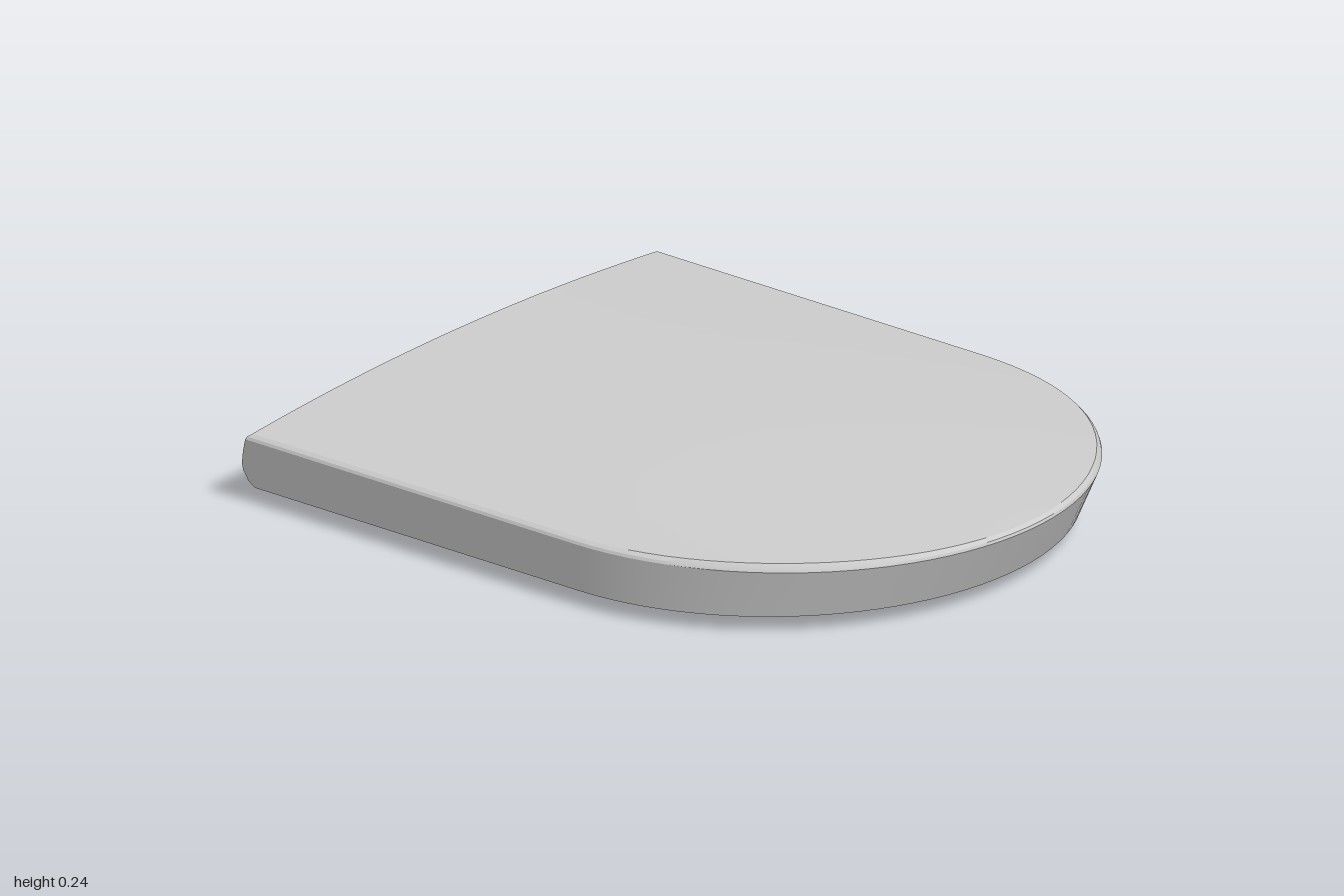
import * as THREE from 'three';
import { toCreasedNormals } from 'three/addons/utils/BufferGeometryUtils.js';

const SIDE = 8, ARC = 48;
// Back edge stations as fractions of the half width; the corners lie beyond 0.815
const BACK = [0.97, 0.9, 0.82, 0.81, 0.7, 0.6, 0.5, 0.4, 0.3, 0.2, 0.1];
const BACK_EDGE = [...BACK.map(f => -f), 0, ...[...BACK].reverse()];

// Closed D-shaped loop: right side, front arc, left side, straight back edge.
// Between the corners the back edge is lifted to at least lip.y and held at lip.z.
function ring(rx, zFront, zBack, y, lip) {
  const zc = 0.15 * rx / 0.835, pts = [];
  const add = (x, z, h = y) => pts.push(new THREE.Vector3(x, h, z));
  for (let i = 0; i < SIDE; i++) add(rx, zBack + (zc - zBack) * i / SIDE);
  for (let i = 0; i <= ARC; i++) {
    const a = Math.PI * i / ARC;
    add(rx * Math.cos(a), zc + (zFront - zc) * Math.sin(a));
  }
  for (let i = 1; i <= SIDE; i++) add(-rx, zc + (zBack - zc) * i / SIDE);
  for (const f of BACK_EDGE) {
    if (lip && Math.abs(f) < 0.815 && y < lip.y) add(f * rx, lip.z, lip.y);
    else add(f * rx, zBack);
  }
  return pts;
}

// Skin a list of equally long closed loops
function skin(rows, crease = 0.6) {
  const pos = [], n = rows[0].length, ab = new THREE.Vector3(), ac = new THREE.Vector3();
  const tri = (a, b, c) => {
    if (ab.subVectors(b, a).cross(ac.subVectors(c, a)).length() < 1e-9) return;
    for (const p of [a, b, c]) pos.push(p.x, p.y, p.z);
  };
  for (let r = 0; r < rows.length - 1; r++) {
    for (let i = 0; i < n; i++) {
      const j = (i + 1) % n, lo = rows[r], hi = rows[r + 1];
      tri(lo[i], hi[i], lo[j]);
      tri(lo[j], hi[i], hi[j]);
    }
  }
  const g = new THREE.BufferGeometry();
  g.setAttribute('position', new THREE.Float32BufferAttribute(pos, 3));
  return toCreasedNormals(g, crease);
}

// Lid: hollow cap with straight leaning skirt, rounded rear corners and domed top
function lidGeometry() {
  const lipIn = { y: 0.183, z: -0.945 }, lipOut = { y: 0.18, z: -0.972 };
  const skirt = (y, zBack) => ring(0.809 + 0.183 * (y - 0.045), 0.93 + 0.49 * (y - 0.045), zBack, y, lipOut);
  const rows = [
    ring(0, 0, 0, 0.183),
    ring(0.795, 0.945, -0.94, 0.183),
    ring(0.785, 0.905, -0.94, 0.05, lipIn),
    ring(0.79, 0.91, -0.945, 0.045, lipIn),
    skirt(0.045, -0.96),
    skirt(0.06, -0.98),
    skirt(0.09, -0.994),
    skirt(0.11, -0.995),
    skirt(0.15, -0.985),
    skirt(0.187, -0.972),
    ring(0.832, 0.997, -0.968, 0.195),
  ];
  for (const t of [0.99, 0.95, 0.85, 0.7, 0.5, 0.25, 0]) {
    const loop = ring(0.83 * t, 0.996 * t, -0.958 * Math.min(1, t * 1.01), 0);
    for (const p of loop) {
      const front = Math.max(0, (p.z + 0.4) / 1.4);
      p.y = 0.202 + 0.037 * (1 - (p.x / 0.83) ** 2) * (1 - front * front);
    }
    rows.push(loop);
  }
  return skin(rows, 0.45);
}

// Seat: ring with a hollow underside and a deep collar round the opening
function seatGeometry() {
  const outer = (rx, zf, y) => ring(rx, zf, -0.91, y, { y: 0.14, z: -0.91 });
  const base = outer(0.775, 0.893, 0.05);
  const hole = (ax, az, y) => base.map(p => {
    const a = Math.atan2((p.z - 0.035) / 0.9, p.x / 0.775);
    return new THREE.Vector3(ax * Math.cos(a), y, 0.035 + az * Math.sin(a));
  });
  const rim = outer(0.735, 0.853, 0.13), collar = hole(0.532, 0.632, 0.05);
  const between = (t, y) => collar.map((p, i) => p.clone().lerp(rim[i], t).setY(y));
  const top = hole(0.6, 0.7, 0.172);
  return skin([
    top,
    hole(0.55, 0.65, 0.145),
    hole(0.523, 0.623, 0.1),
    hole(0.51, 0.61, 0.06),
    hole(0.511, 0.611, 0.005),
    hole(0.515, 0.615, 0),
    hole(0.522, 0.622, 0.002),
    hole(0.526, 0.626, 0.01),
    between(0, 0.05),
    between(0.06, 0.078),
    between(0.15, 0.098),
    between(0.28, 0.114),
    between(0.45, 0.124),
    between(0.7, 0.129),
    between(1, 0.13),
    outer(0.745, 0.863, 0.055),
    outer(0.75, 0.868, 0.05),
    base,
    outer(0.78, 0.9, 0.172),
    top,
  ], 0.75);
}

// Solid filling of a rear corner, with the same rounded end profile as the lid
function cornerGeometry(width) {
  const s = new THREE.Shape();
  s.moveTo(0.87, 0.048);
  s.lineTo(0.955, 0.048);
  s.bezierCurveTo(0.98, 0.055, 0.993, 0.08, 0.99, 0.11);
  s.lineTo(0.968, 0.185);
  s.lineTo(0.87, 0.185);
  const g = new THREE.ExtrudeGeometry(s, { depth: width, bevelEnabled: false, curveSegments: 10 });
  g.rotateY(Math.PI / 2); // profile now points to -z, width to +x
  return toCreasedNormals(g, 0.6);
}

// Slotted frame lying flat, long side on x
function frameGeometry() {
  const rect = (C, w, h) => new C([[-w, -h], [w, -h], [w, h], [-w, h]].map(p => new THREE.Vector2(...p)));
  const s = rect(THREE.Shape, 0.1, 0.036);
  s.holes.push(rect(THREE.Path, 0.07, 0.014));
  return new THREE.ExtrudeGeometry(s, { depth: 0.02, bevelEnabled: false }).rotateX(Math.PI / 2);
}

export function createModel() {
  const model = new THREE.Group();
  model.name = 'toiletSeat';
  const plastic = new THREE.MeshStandardMaterial({ color: 0xcccccc });
  plastic.name = 'greyPlastic';
  const add = (name, geometry, x = 0, y = 0, z = 0, parent = model) => {
    const m = new THREE.Mesh(geometry, plastic);
    m.name = name;
    m.position.set(x, y, z);
    parent.add(m);
    return m;
  };

  add('lid', lidGeometry());
  add('seat', seatGeometry());

  // Hinges, one at each rear corner
  for (const side of [1, -1]) {
    const hinge = new THREE.Group();
    hinge.name = side > 0 ? 'leftHinge' : 'rightHinge';
    model.add(hinge);
    const barrel = (r, w) => new THREE.CylinderGeometry(r, r, w, 36).rotateZ(Math.PI / 2);
    add('cornerBlock', cornerGeometry(0.12), side > 0 ? 0.68 : -0.8, 0, 0, hinge);
    add('hingeBarrel', barrel(0.066, 0.22), side * 0.575, 0.113, -0.928, hinge);
    add('hingeMount', new THREE.BoxGeometry(0.22, 0.07, 0.07), side * 0.575, 0.15, -0.935, hinge);
    add('hingePin', barrel(0.038, 0.03), side * 0.455, 0.106, -0.936, hinge);
    add('hingeKnuckle', barrel(0.054, 0.066), side * 0.414, 0.106, -0.938, hinge);
    add('hingeStem', new THREE.CylinderGeometry(0.022, 0.03, 0.06, 20), side * 0.428, 0.053, -0.932, hinge);
    add('hingeFoot', new THREE.CylinderGeometry(0.045, 0.068, 0.016, 32), side * 0.435, 0.024, -0.932, hinge);
  }

  for (const side of [1, -1]) {
    // Bumpers under the seat, pointing outward
    for (const [x, z, turn] of [[0.645, -0.13, 0], [0.525, 0.57, 0.72]]) {
      const bumper = new THREE.Group();
      bumper.name = 'bumper';
      bumper.position.set(side * x, 0, z);
      bumper.rotation.y = -side * turn;
      model.add(bumper);
      add('bumperBase', new THREE.BoxGeometry(0.2, 0.07, 0.072), 0, 0.1, 0, bumper);
      add('bumperFrame', frameGeometry(), 0, 0.066, 0, bumper);
    }
    // Stops under the lid, at the edge of the opening
    add('lidStop', new THREE.CylinderGeometry(0.024, 0.038, 0.06, 24), side * 0.385, 0.155, 0.42);
  }
  return model;
}
